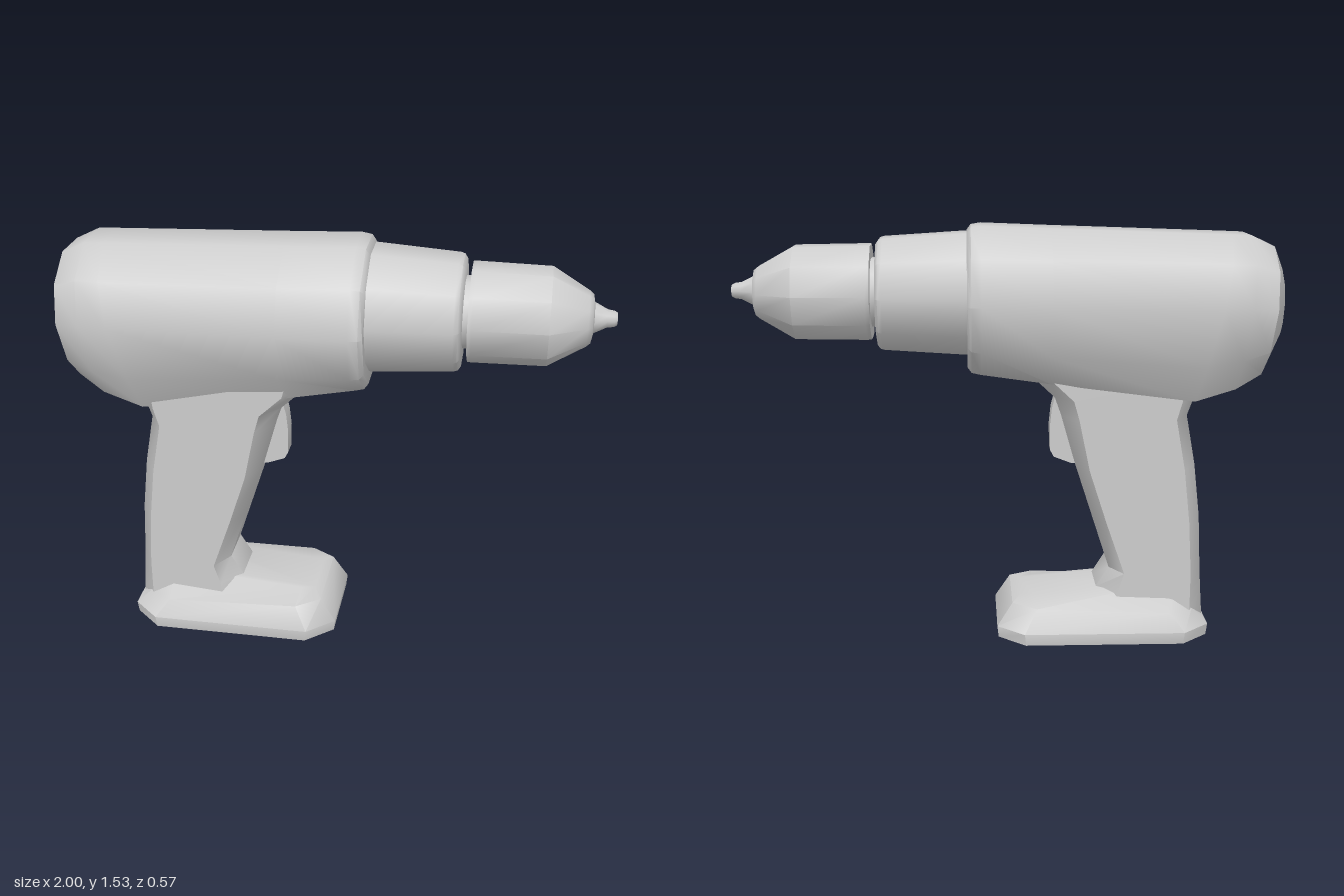
import * as THREE from 'three';
import { toCreasedNormals } from 'three/addons/utils/BufferGeometryUtils.js';

const CREASE = 0.75;

// Skin a list of equal-length rings of [x, y, z] points and cap both ends.
function loft(rings) {
  const n = rings[0].length, pos = [], idx = [];
  rings.forEach(r => r.forEach(p => pos.push(...p)));
  for (let i = 0; i < rings.length - 1; i++) {
    for (let k = 0; k < n; k++) {
      const a = i * n + k, b = i * n + (k + 1) % n, c = a + n, d = b + n;
      idx.push(a, c, b, b, c, d);
    }
  }
  const last = (rings.length - 1) * n;
  for (let k = 1; k < n - 1; k++) {
    idx.push(0, k, k + 1);
    idx.push(last, last + k + 1, last + k);
  }
  const g = new THREE.BufferGeometry();
  g.setAttribute('position', new THREE.Float32BufferAttribute(pos, 3));
  g.setIndex(idx);
  return toCreasedNormals(g, CREASE);
}

// Ten-sided housing section; leans from xTop to xBot, with a variable bottom width.
function housingRing([xTop, top, xBot, bot, cy, hw, bz]) {
  const ring = [];
  for (let k = 0; k < 10; k++) {
    const a = k * Math.PI / 5, s = Math.sin(a) / Math.sin(Math.PI * 0.4);
    const y = cy + s * (s > 0 ? top - cy : cy - bot);
    const lowest = s < -0.9;
    const z = lowest ? Math.sign(Math.cos(a)) * bz : hw * Math.cos(a);
    ring.push([xBot + (xTop - xBot) * (y - bot) / (top - bot), y, z]);
  }
  return ring;
}

// Turned part along +x from [radius, x] points.
function turned(points) {
  const g = new THREE.LatheGeometry(points.map(p => new THREE.Vector2(...p)), 10);
  g.rotateZ(-Math.PI / 2);
  return toCreasedNormals(g, CREASE);
}

// Eight-sided grip section with flat sides and bevelled front and back.
function gripRing([y, backOuter, backSide, frontSide, frontOuter]) {
  const half = [[frontOuter, 0.08], [frontSide, 0.1625], [backSide, 0.1625], [backOuter, 0.08]];
  return [...half, ...half.slice().reverse().map(([x, z]) => [x, -z])].map(([x, z]) => [x, y, z]);
}

// Rectangle with cut corners; height runs from yBack to yFront.
function footRing([x0, x1, w, yBack, yFront, cx, cz]) {
  const half = [[x1, w - cz], [x1 - cx, w], [x0 + cx, w], [x0, w - cz]];
  return [...half, ...half.slice().reverse().map(([x, z]) => [x, -z])]
    .map(([x, z]) => [x, yBack + (yFront - yBack) * (x - x0) / (x1 - x0), z]);
}

export function createModel() {
  const group = new THREE.Group();
  const grey = new THREE.MeshStandardMaterial({ color: 0xcccccc });
  grey.name = 'light grey';
  const add = (name, geometry, y = 0, z = 0) => {
    const mesh = new THREE.Mesh(geometry, grey);
    mesh.name = name;
    mesh.position.set(0, y, z);
    group.add(mesh);
  };

  // Motor housing, rear to front
  add('motorHousing', loft([
    [-1.0, 1.37, -1.0, 1.14, 1.25, 0.085, 0.04],
    [-0.955, 1.46, -0.92, 1.0, 1.25, 0.25, 0.11],
    [-0.87, 1.5, -0.82, 0.953, 1.26, 0.283, 0.15],
    [-0.8, 1.503, -0.67, 0.912, 1.26, 0.283, 0.168],
    [-0.15, 1.526, -0.15, 0.975, 1.265, 0.283, 0.145],
    [0.1, 1.536, 0.1, 1.0, 1.27, 0.283, 0.09],
    [0.135, 1.53, 0.135, 1.007, 1.27, 0.278, 0.086],
    [0.15, 1.51, 0.15, 1.027, 1.27, 0.262, 0.08],
  ].map(housingRing)));

  // Gearbox collar
  add('gearCollar', turned([
    [0, 0.1], [0.23, 0.1], [0.229, 0.16], [0.21, 0.45], [0.205, 0.465], [0.19, 0.475], [0, 0.475],
  ]), 1.29);

  // Short neck between collar and chuck
  add('neck', turned([[0, 0.46], [0.128, 0.46], [0.128, 0.51], [0, 0.51]]), 1.293);

  // Chuck with tapered nose
  add('chuck', turned([
    [0, 0.495], [0.177, 0.495], [0.178, 0.51], [0.174, 0.77],
    [0.098, 0.9], [0.085, 0.915], [0.06, 0.92], [0, 0.92],
  ]), 1.295);

  // Bit holder with a small hole in its tip
  add('bitHolder', turned([
    [0, 0.9], [0.062, 0.9], [0.055, 0.92], [0.032, 0.965], [0.028, 0.99],
    [0.022, 1.0], [0.014, 1.0], [0.012, 0.97], [0, 0.97],
  ]), 1.3);

  // Curved grip
  add('grip', loft([
    [0.05, -0.742, -0.68, -0.39, -0.31],
    [0.17, -0.733, -0.68, -0.405, -0.33],
    [0.25, -0.728, -0.68, -0.43, -0.38],
    [0.45, -0.718, -0.668, -0.36, -0.315],
    [0.65, -0.695, -0.645, -0.295, -0.25],
    [0.84, -0.66, -0.61, -0.255, -0.195],
    [0.91, -0.685, -0.63, -0.235, -0.17],
    [0.99, -0.69, -0.64, -0.15, -0.085],
    [1.06, -0.65, -0.62, -0.13, -0.07],
  ].map(gripRing)), 0, 0.0125);

  // Battery foot
  add('batteryFoot', loft([
    [-0.745, 0.04, 0.248, 0.004, 0.004, 0.1, 0.09],
    [-0.75, 0.045, 0.2525, 0.048, 0.048, 0.1, 0.09],
    [-0.69, -0.012, 0.212, 0.105, 0.137, 0.09, 0.06],
    [-0.64, -0.045, 0.11, 0.2, 0.15, 0.05, 0.02],
  ].map(footRing)), 0, 0.0125);

  // Trigger
  const outline = new THREE.Shape([
    [-0.27, 0.65], [-0.235, 0.65], [-0.17, 0.675], [-0.157, 0.7], [-0.155, 0.79],
    [-0.162, 0.86], [-0.175, 0.91], [-0.22, 0.91],
  ].map(p => new THREE.Vector2(...p)));
  const trigger = new THREE.ExtrudeGeometry(outline, { depth: 0.07, bevelEnabled: false });
  trigger.translate(0, 0, -0.035);
  add('trigger', toCreasedNormals(trigger, CREASE), 0, 0.005);

  return group;
}
